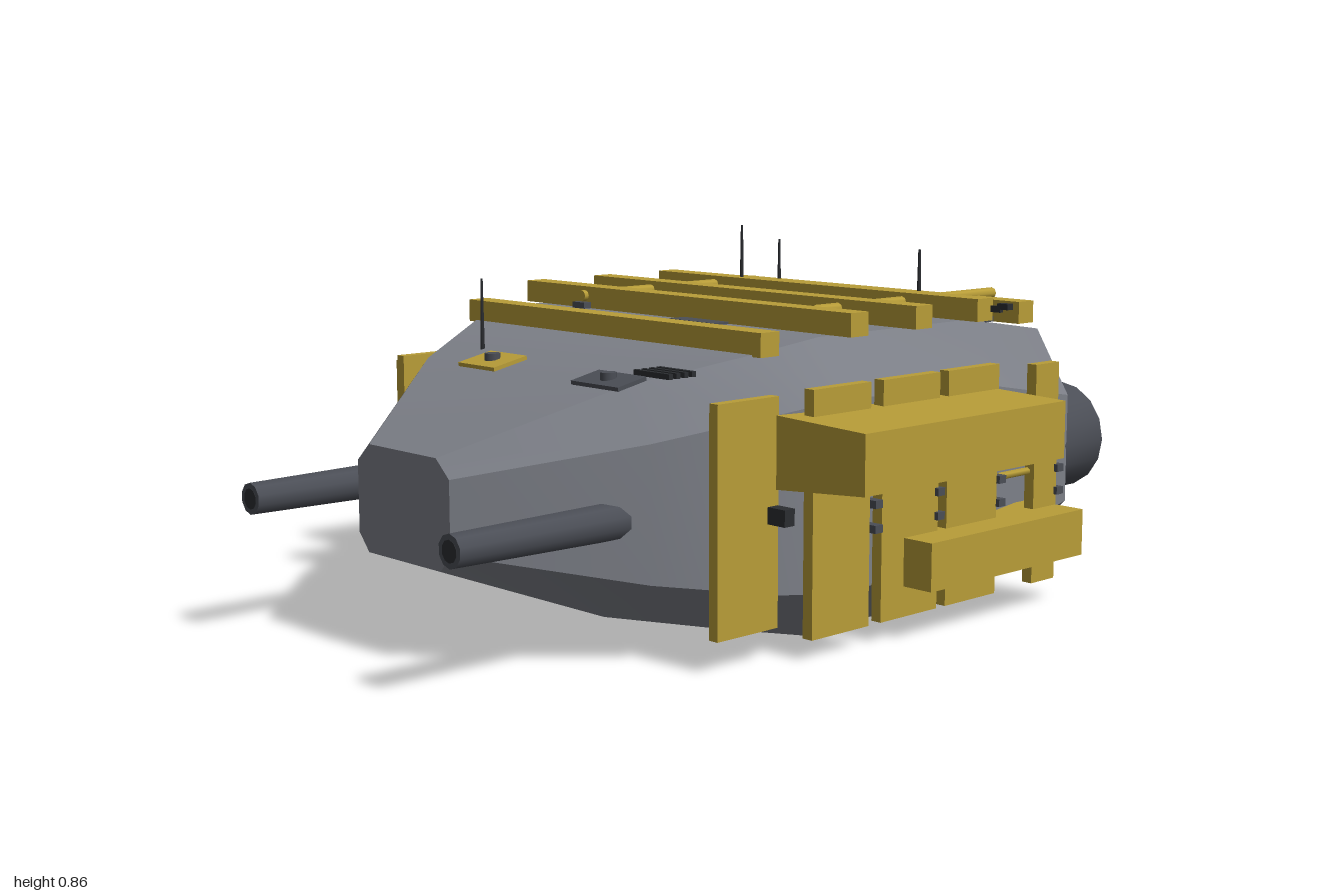
import * as THREE from 'three';
import { toCreasedNormals } from 'three/addons/utils/BufferGeometryUtils.js';

const material = (name, color) => {
  const m = new THREE.MeshStandardMaterial({ color });
  m.name = name;
  return m;
};

// One octagonal hull section: half widths and heights from keel to roof
function section([z, wBottom, wSide, wTop, y0, yLow, yHigh, y1]) {
  const half = [[wBottom, y0], [wSide, yLow], [wSide, yHigh], [wTop, y1]];
  const mirrored = half.map(([x, y]) => [-x, y]).reverse();
  return [...half, ...mirrored].map(([x, y]) => [x, y, z]);
}

function hullGeometry() {
  const rings = [
    [-0.85, 0.36, 0.47, 0.37, 0.06, 0.18, 0.45, 0.61],
    [-0.45, 0.44, 0.565, 0.47, 0, 0.14, 0.52, 0.67],
    [0.1, 0.46, 0.59, 0.5, 0, 0.12, 0.55, 0.675],
    [0.28, 0.4, 0.56, 0.48, 0.035, 0.14, 0.53, 0.65],
    [0.53, 0.28, 0.43, 0.34, 0.085, 0.18, 0.48, 0.59],
    [0.85, 0.13, 0.165, 0.12, 0.21, 0.25, 0.41, 0.45],
  ].map(section);
  const n = 8, last = (rings.length - 1) * n, index = [];
  for (let s = 0; s < rings.length - 1; s++) {
    for (let i = 0; i < n; i++) {
      const a = s * n + i, b = s * n + (i + 1) % n;
      index.push(a, b, b + n, a, b + n, a + n);
    }
  }
  for (let i = 1; i < n - 1; i++) {
    index.push(0, i + 1, i, last, last + i, last + i + 1);
  }
  const g = new THREE.BufferGeometry();
  g.setAttribute('position', new THREE.Float32BufferAttribute(rings.flat(2), 3));
  g.setIndex(index);
  return toCreasedNormals(g, 0.4);
}

export function createModel() {
  const model = new THREE.Group();
  model.name = 'armouredHull';
  const grey = material('hullGrey', 0x7d8088);
  const dark = material('engineGrey', 0x4b4e56);
  const black = material('fittingBlack', 0x2b2d31);
  const yellow = material('armourYellow', 0xb89d38);

  const add = (name, geometry, mat, x = 0, y = 0, z = 0, parent = model) => {
    const mesh = new THREE.Mesh(geometry, mat);
    mesh.name = name;
    mesh.position.set(x, y, z);
    parent.add(mesh);
    return mesh;
  };
  // Box given by its limits on each axis
  const box = (name, mat, [x0, x1], [y0, y1], [z0, z1], parent) =>
    add(name, new THREE.BoxGeometry(x1 - x0, y1 - y0, z1 - z0), mat,
      (x0 + x1) / 2, (y0 + y1) / 2, (z0 + z1) / 2, parent);
  // Cylinder lying along z, front radius first
  const zCylinder = (rFront, rBack, length, sides) =>
    new THREE.CylinderGeometry(rFront, rBack, length, sides).rotateX(Math.PI / 2);

  add('hull', hullGeometry(), grey);

  // Engine nozzles with rounded square openings
  const nozzle = new THREE.Shape().absarc(0, 0, 0.137, 0, Math.PI * 2);
  const hole = new THREE.Path();
  hole.moveTo(0.052, -0.03);
  for (const [cx, cy, x, y] of [[0.055, 0.055, -0.03, 0.052], [-0.055, 0.055, -0.052, -0.03],
    [-0.055, -0.055, 0.03, -0.052], [0.055, -0.055, 0.052, -0.03]]) {
    hole.quadraticCurveTo(cx, cy, x, y);
  }
  nozzle.holes.push(hole);
  const nozzleGeometry = toCreasedNormals(
    new THREE.ExtrudeGeometry(nozzle, { depth: 0.18, bevelEnabled: false, curveSegments: 8 }), 0.6);
  for (const x of [-0.335, 0, 0.335]) {
    add('engineNozzle', nozzleGeometry, dark, x, 0.32, -1);
    add('engineCore', zCylinder(0.08, 0.08, 0.06, 12), black, x, 0.32, -0.9);
  }

  // Roof beams: z, half length, underside height
  for (const [z, half, y] of [[-0.635, 0.497, 0.65], [-0.415, 0.547, 0.675], [-0.19, 0.553, 0.675],
    [0.03, 0.557, 0.675], [0.255, 0.505, 0.645]]) {
    box('roofBeam', yellow, [-half, half], [y, y + 0.053], [z - 0.028, z + 0.028]);
  }
  // Rails tying the beams together
  add('roofRail', zCylinder(0.014, 0.014, 0.61, 8), yellow, -0.33, 0.705, -0.235);
  add('roofRail', zCylinder(0.014, 0.014, 0.65, 8), yellow, 0.316, 0.705, -0.405);
  for (const [x, z] of [[-0.33, 0.03], [-0.33, -0.415], [0.316, -0.62], [0.316, -0.1]]) {
    box('railClamp', dark, [x - 0.022, x + 0.022], [0.675, 0.69], [z - 0.05, z + 0.05]);
  }

  // Parts on both flanks
  for (const side of [1, -1]) {
    const flank = new THREE.Group();
    flank.name = side > 0 ? 'leftFlank' : 'rightFlank';
    model.add(flank);
    const span = (a, b) => (side > 0 ? [a, b] : [-b, -a]);
    // Profile in x and y drawn along z
    const pod = (name, points, z0, z1) => {
      const shape = new THREE.Shape(points.map(([x, y]) => new THREE.Vector2(x * side, y)));
      add(name, new THREE.ExtrudeGeometry(shape, { depth: z1 - z0, bevelEnabled: false }),
        yellow, 0, 0, z0, flank);
    };

    box('frontSkirtPlate', yellow, span(0.535, 0.56), [0.07, 0.57], [0.283, 0.462], flank);
    for (const [z0, z1] of [[0.06, 0.24], [-0.17, 0.02], [-0.38, -0.2], [-0.607, -0.52]]) {
      box('skirtPlate', yellow, span(0.593, 0.62), [0.045, z0 < -0.5 ? 0.57 : 0.585], [z0, z1], flank);
    }
    pod('upperStowageBox', [[0.55, 0.37], [0.81, 0.39], [0.81, 0.52], [0.55, 0.53]], -0.377, 0.29);
    pod('lowerStowageBox', [[0.54, 0.115], [0.7, 0.115], [0.7, 0.225], [0.54, 0.225]], -0.607, -0.055);

    // Plate brackets and clips
    for (const z of [0.04, -0.17, -0.39, -0.61]) {
      for (const y of [0.26, 0.315, 0.36]) {
        box('plateClip', dark, span(0.54, 0.63), [y - 0.009, y + 0.009], [z - 0.012, z + 0.012], flank);
      }
    }
    box('sensorBlock', black, span(0.545, 0.61), [0.3, 0.337], [0.285, 0.315], flank);
    add('tieRod', zCylinder(0.009, 0.009, 0.14, 6), yellow, side * 0.6, 0.315, -0.46, flank);

    // Forward guns
    add('gunBarrel', zCylinder(0.036, 0.044, 0.6, 10), dark, side * 0.365, 0.315, 0.7, flank);
    add('gunMuzzle', zCylinder(0.024, 0.024, 0.01, 10), black, side * 0.365, 0.315, 0.996, flank);
  }

  // Hatches on the sloping bow and the roof
  const bowTilt = 0.2;
  const bowPlate = (name, mat, x, y, z, w, d) => {
    add(name, new THREE.BoxGeometry(w, 0.009, d), mat, x, y, z).rotation.x = bowTilt;
    add(name + 'Stud', new THREE.CylinderGeometry(0.018, 0.018, 0.02, 10), dark, x, y + 0.008, z);
  };
  bowPlate('bowHatch', yellow, -0.103, 0.604, 0.525, 0.13, 0.095);
  bowPlate('bowVent', dark, 0.32, 0.604, 0.548, 0.15, 0.08);
  for (let i = 0; i < 4; i++) {
    box('ventSlat', black, [0.325, 0.435], [0.61, 0.622], [0.405 + i * 0.022, 0.416 + i * 0.022]);
  }
  box('roofHatch', yellow, [-0.048, 0.054], [0.67, 0.685], [-0.378, -0.293]);
  add('roofHatchStud', new THREE.CylinderGeometry(0.014, 0.014, 0.02, 10), dark, 0.003, 0.692, -0.335);
  box('roofAccessPanel', dark, [0.2, 0.41], [0.67, 0.68], [-0.1, -0.02]);
  box('roofAccessPanel', dark, [0.03, 0.18], [0.67, 0.68], [0.06, 0.11]);
  box('roofLouvre', dark, [0.36, 0.45], [0.655, 0.668], [-0.57, -0.54]);
  box('roofSensor', black, [0.57, 0.6], [0.703, 0.717], [-0.45, -0.43]);
  box('roofSensorArm', black, [0.54, 0.575], [0.695, 0.71], [-0.445, -0.435]);

  // Whip antennas: x, z, base, tip
  for (const [x, z, y0, y1] of [[-0.35, -0.65, 0.63, 0.81], [-0.257, -0.415, 0.66, 0.862],
    [-0.25, 0.44, 0.6, 0.775], [0.29, -0.48, 0.66, 0.825]]) {
    add('antenna', new THREE.CylinderGeometry(0.003, 0.006, y1 - y0, 6), black, x, (y0 + y1) / 2, z);
  }
  return model;
}
